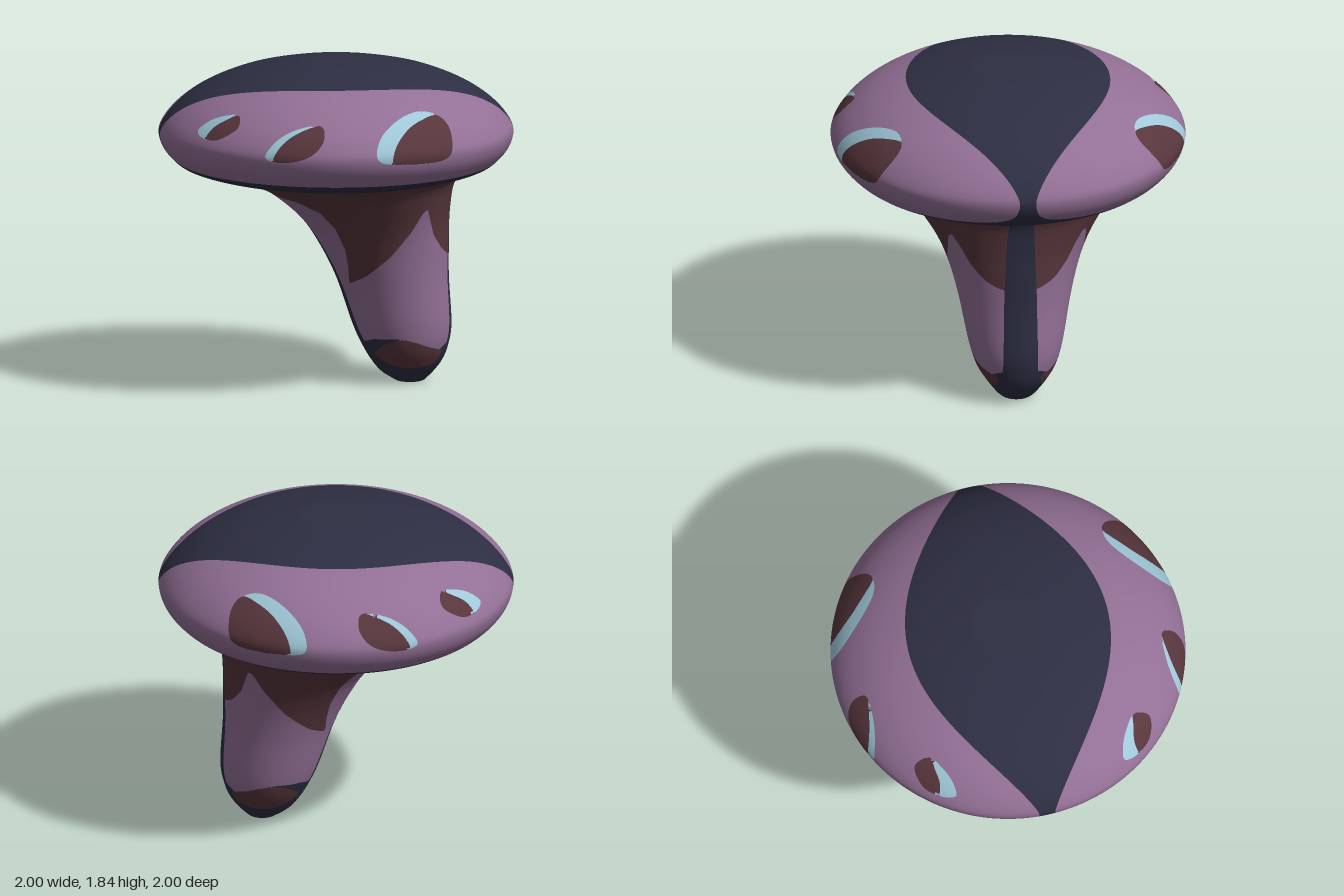
import * as THREE from 'three';

const mat = (name, color) => {
  const m = new THREE.MeshStandardMaterial({ color });
  m.name = name;
  return m;
};
const MATS = [mat('navy', 0x2d2e42), mat('mauve', 0x937096), mat('brown', 0x57363c), mat('paleBlue', 0x9fc8d8)];
const [NAVY, MAUVE, BROWN, BLUE] = [0, 1, 2, 3];

// Linear interpolation through [x, y] pairs.
function piecewise(pts, x) {
  if (x <= pts[0][0]) return pts[0][1];
  for (let i = 1; i < pts.length; i++) {
    const [x0, y0] = pts[i - 1], [x1, y1] = pts[i];
    if (x <= x1) return y0 + ((x - x0) / (x1 - x0)) * (y1 - y0);
  }
  return pts[pts.length - 1][1];
}

// Smooth closed outline and an inside test for it.
function outline(pts) {
  const c = new THREE.CatmullRomCurve3(pts.map(([x, y]) => new THREE.Vector3(x, y, 0)), true, 'centripetal');
  return c.getPoints(60);
}
function inside(poly, x, y) {
  let hit = false;
  for (let i = 0, j = poly.length - 1; i < poly.length; j = i++) {
    const a = poly[i], b = poly[j];
    if ((a.y > y) !== (b.y > y) && x < ((b.x - a.x) * (y - a.y)) / (b.y - a.y) + a.x) hit = !hit;
  }
  return hit;
}

// Closed rings (bottom to top) skinned into a surface; triangles are cut where the colour changes.
function paintedLoft(name, rings, sides, colourOf) {
  const pos = [], idx = [];
  for (const ring of rings)
    for (let j = 0; j < sides; j++) pos.push(...ring((j / sides) * Math.PI * 2));
  for (let i = 0; i < rings.length - 1; i++)
    for (let j = 0; j < sides; j++) {
      const k = (j + 1) % sides, a = i * sides + j, b = i * sides + k;
      idx.push(a, a + sides, b, b, a + sides, b + sides);
    }
  const base = new THREE.BufferGeometry();
  base.setAttribute('position', new THREE.Float32BufferAttribute(pos, 3));
  base.setIndex(idx);
  base.computeVertexNormals();
  const verts = [];
  for (let i = 0; i < pos.length / 3; i++) {
    const p = new THREE.Vector3().fromBufferAttribute(base.attributes.position, i);
    verts.push({ p, n: new THREE.Vector3().fromBufferAttribute(base.attributes.normal, i), c: colourOf(p) });
  }
  const buckets = MATS.map(() => []);
  const mix = (a, b, t) => ({ p: a.p.clone().lerp(b.p, t), n: a.n.clone().lerp(b.n, t).normalize() });
  const border = (a, b) => {
    let lo = 0, hi = 1;
    for (let s = 0; s < 10; s++) {
      const t = (lo + hi) / 2;
      if (colourOf(mix(a, b, t).p) === a.c) lo = t; else hi = t;
    }
    return mix(a, b, lo);
  };
  for (let i = 0; i < idx.length; i += 3) {
    let [a, b, c] = [verts[idx[i]], verts[idx[i + 1]], verts[idx[i + 2]]];
    if (a.c === b.c && b.c === c.c) { buckets[a.c].push(a, b, c); continue; }
    if (a.c === b.c) [a, b, c] = [c, a, b];
    else if (a.c === c.c) [a, b, c] = [b, c, a];
    const ab = border(a, b), ac = border(a, c);
    buckets[a.c].push(a, ab, ac);
    buckets[b.c].push(ab, b, c);
    buckets[c.c].push(ab, c, ac);
  }
  const geo = new THREE.BufferGeometry(), all = buckets.flat();
  geo.setAttribute('position', new THREE.Float32BufferAttribute(all.flatMap(v => v.p.toArray()), 3));
  geo.setAttribute('normal', new THREE.Float32BufferAttribute(all.flatMap(v => v.n.toArray()), 3));
  let start = 0;
  buckets.forEach((b, m) => {
    if (b.length) geo.addGroup(start, b.length, m);
    start += b.length;
  });
  const mesh = new THREE.Mesh(geo, MATS);
  mesh.name = name;
  return mesh;
}

// Eye-like spots on both flanks of the cap: whole outline, then the brown part of it.
const SPOTS = [
  [[[-0.82, 1.53], [-0.76, 1.585], [-0.67, 1.625], [-0.595, 1.635], [-0.6, 1.59], [-0.67, 1.535], [-0.76, 1.5], [-0.81, 1.51]],
    [[-0.78, 1.505], [-0.74, 1.56], [-0.67, 1.605], [-0.595, 1.635], [-0.6, 1.59], [-0.67, 1.535], [-0.74, 1.502]]],
  [[[-0.47, 1.45], [-0.41, 1.53], [-0.29, 1.595], [-0.145, 1.612], [-0.14, 1.55], [-0.21, 1.47], [-0.34, 1.425], [-0.45, 1.43]],
    [[-0.425, 1.43], [-0.39, 1.5], [-0.29, 1.575], [-0.145, 1.612], [-0.14, 1.55], [-0.21, 1.47], [-0.34, 1.425]]],
  [[[0.155, 1.46], [0.18, 1.55], [0.28, 1.63], [0.41, 1.663], [0.52, 1.635], [0.585, 1.57], [0.588, 1.44], [0.54, 1.408], [0.28, 1.408], [0.18, 1.425]],
    [[0.25, 1.415], [0.265, 1.5], [0.34, 1.585], [0.43, 1.625], [0.52, 1.635], [0.585, 1.57], [0.588, 1.44], [0.54, 1.408], [0.3, 1.408]]],
].map(pair => pair.map(outline));

function capColour({ x, y, z }) {
  const d = Math.abs(z);
  if (y < 1.265 + 0.006 / Math.max(d, 0.01)) return NAVY;
  if (y > 1.36 && d < 0.045 + 0.53 * Math.cos(x * Math.PI / 2)) return NAVY;
  for (const [whole, pupil] of SPOTS) {
    if (inside(pupil, x, y)) return BROWN;
    if (inside(whole, x, y)) return BLUE;
  }
  return MAUVE;
}

// Lower border of the brown collar, upper border of the navy toe, and the toe spot.
const COLLAR = [[-0.38, 1.1], [-0.25, 1.09], [-0.12, 1.03], [-0.03, 0.93], [0.03, 0.8], [0.05, 0.7], [0.06, 0.59],
  [0.15, 0.65], [0.28, 0.77], [0.4, 0.92], [0.46, 1.02], [0.49, 1.045], [0.5, 1], [0.53, 0.88], [0.58, 0.79], [0.65, 0.71]];
const TOE = [[0.1, 0.22], [0.2, 0.27], [0.35, 0.278], [0.45, 0.25], [0.57, 0.2], [0.65, 0.25]];
const TOE_SPOT = outline([[0.21, 0.18], [0.29, 0.258], [0.4, 0.265], [0.5, 0.225], [0.585, 0.19], [0.55, 0.125], [0.47, 0.1], [0.36, 0.1], [0.26, 0.135]]);

function stemColour({ x, y, z }) {
  const d = Math.abs(z);
  if (y < 0.003) return Math.hypot(x - 0.42, z) < 0.045 ? BROWN : NAVY;
  const stripe = x < -0.35 ? 0.09 + (-0.35 - x) * 0.5 : piecewise([[0.2, 0.1], [0.7, 0.092], [1.1, 0.075], [1.2, 0.06]], y);
  if (d < stripe) return NAVY;
  if (y < piecewise(TOE, x)) return inside(TOE_SPOT, x, y) ? BROWN : NAVY;
  return y > piecewise(COLLAR, x) ? BROWN : MAUVE;
}

export function createModel() {
  const group = new THREE.Group();
  group.name = 'mushroomShape';

  // Cap: round profile with a small flat crown.
  const profile = new THREE.CatmullRomCurve3([[0.62, 1.19], [0.7, 1.2], [0.87, 1.25], [0.925, 1.29], [0.98, 1.36], [1, 1.43], [0.99, 1.475],
    [0.925, 1.565], [0.79, 1.67], [0.58, 1.765], [0.4, 1.81], [0.22, 1.84]].map(([r, y]) => new THREE.Vector3(r, y, 0)), false, 'centripetal');
  const capPts = [...profile.getPoints(77), new THREE.Vector3(0.2, 1.84, 0), new THREE.Vector3(0, 1.84, 0)];
  const capRings = capPts.map(p => t => [p.x * Math.cos(t), p.y, p.x * Math.sin(t)]);
  group.add(paintedLoft('cap', capRings, 180, capColour));

  // Stem: leaning elliptical sections as height, right edge, left edge, half depth.
  const sections = [[0, 0.42, 0.42, 0], [0, 0.35, 0.485, 0.07], [0.02, 0.31, 0.515, 0.105], [0.06, 0.25, 0.555, 0.14],
    [0.12, 0.2, 0.6, 0.182], [0.2, 0.152, 0.632, 0.228], [0.33, 0.093, 0.652, 0.267], [0.6, 0, 0.637, 0.32], [0.8, -0.1, 0.637, 0.375],
    [0.95, -0.205, 0.64, 0.442], [1.09, -0.37, 0.655, 0.54], [1.15, -0.49, 0.672, 0.6], [1.18, -0.59, 0.69, 0.65], [1.205, -0.71, 0.72, 0.71]];
  const spline = f => new THREE.CatmullRomCurve3(sections.map(f), false, 'catmullrom');
  const edges = spline(([y, a, b]) => new THREE.Vector3(a, y, b));
  const depth = spline(([y, , , d]) => new THREE.Vector3(d, y, 0));
  const stemRings = [];
  for (let i = 0; i <= 104; i++) {
    const e = edges.getPoint(i / 104), d = depth.getPoint(i / 104).x;
    stemRings.push(t => [(e.x + e.z) / 2 + (e.z - e.x) / 2 * Math.cos(t), Math.max(0, e.y), d * Math.sin(t)]);
  }
  group.add(paintedLoft('stem', stemRings, 144, stemColour));
  return group;
}
